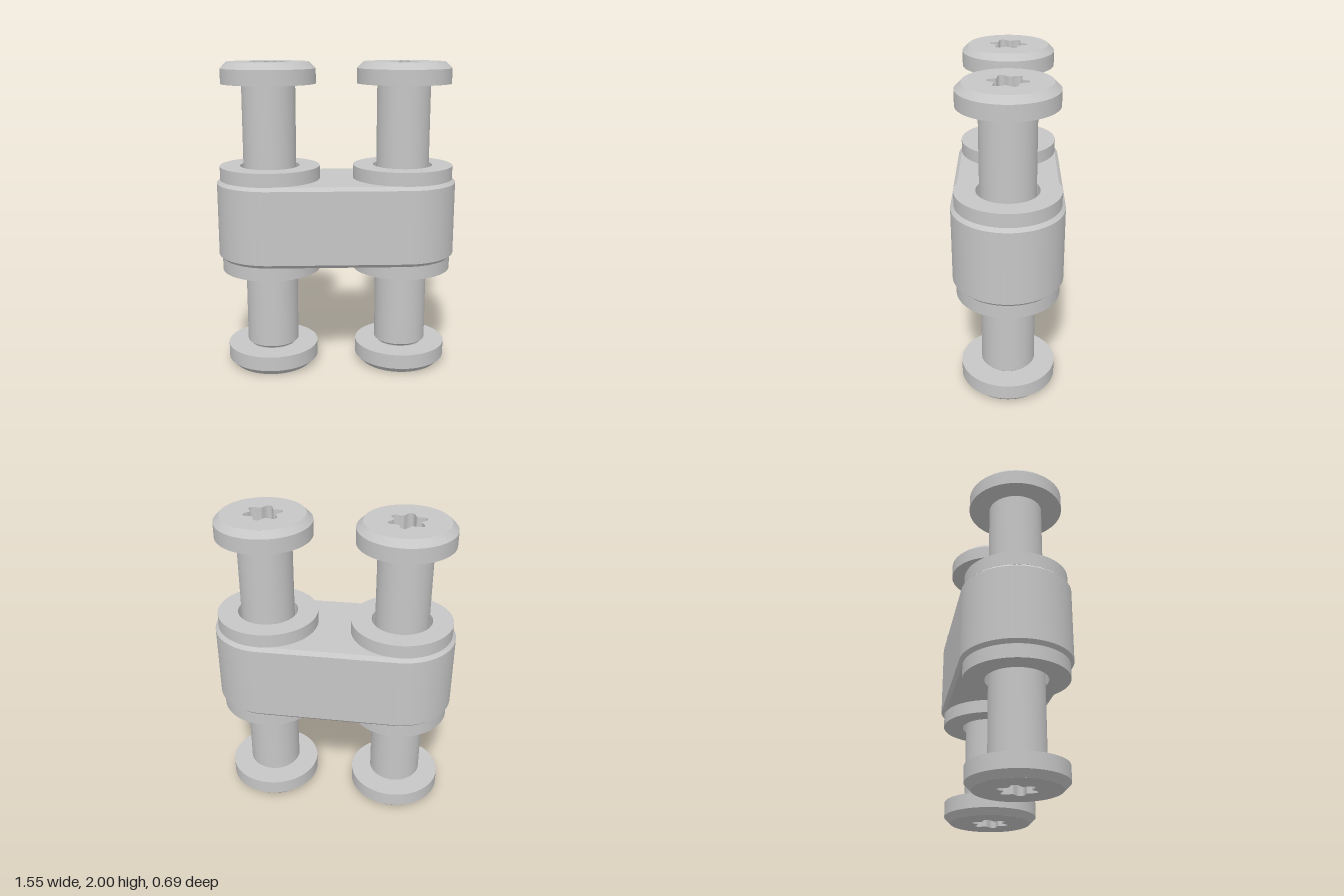
import * as THREE from 'three';
import { toCreasedNormals } from 'three/addons/utils/BufferGeometryUtils.js';

const SEG = 64;
const PIN_X = 0.43;
const HEAD_H = 0.135;

const steel = new THREE.MeshStandardMaterial({ color: 0xc6c6c6 });
steel.name = 'light steel grey';

function part(name, geometry) {
  const mesh = new THREE.Mesh(geometry, steel);
  mesh.name = name;
  return mesh;
}

// Turned part from [radius, height] pairs, listed counter-clockwise
function turned(points) {
  const profile = points.map(([r, y]) => new THREE.Vector2(r, y));
  return toCreasedNormals(new THREE.LatheGeometry(profile, SEG), 0.5);
}

// Extrusion stood upright, from y = 0 upwards
function upright(shape, options) {
  const g = new THREE.ExtrudeGeometry(shape, { curveSegments: SEG, ...options });
  g.rotateX(-Math.PI / 2);
  return toCreasedNormals(g, 0.5);
}

function circlePath(x, r) {
  return new THREE.Path().absarc(x, 0, r, 0, Math.PI * 2, true);
}

// Six-lobed socket outline
function socketPath() {
  const points = [];
  for (let i = 0; i < 96; i++) {
    const a = -(i / 96) * Math.PI * 2;
    const r = 0.102 + 0.02 * Math.cos(6 * (a - THREE.MathUtils.degToRad(82)));
    points.push(new THREE.Vector2(r * Math.cos(a), r * Math.sin(a)));
  }
  return new THREE.Path(points);
}

// Chamfered screw head with its socket, underside at y = 0
function makeHead(name) {
  const head = new THREE.Group();
  head.name = name;
  head.add(part('headRim', turned([[0.14, 0], [0.3, 0], [0.3, HEAD_H - 0.04], [0.26, HEAD_H]])));

  const face = new THREE.Shape().absarc(0, 0, 0.26, 0, Math.PI * 2, false);
  face.holes.push(socketPath());
  const faceGeometry = upright(face, { depth: 0.13, bevelEnabled: false });
  faceGeometry.translate(0, HEAD_H - 0.13, 0);
  head.add(part('headFace', faceGeometry));

  const floor = new THREE.CircleGeometry(0.14, SEG);
  floor.rotateX(-Math.PI / 2);
  floor.translate(0, HEAD_H - 0.128, 0);
  head.add(part('socketFloor', floor));
  return head;
}

function makePin(x) {
  const pin = new THREE.Group();
  pin.name = x > 0 ? 'leftPin' : 'rightPin';
  pin.position.x = x;

  // Shaft, chamfered at its lower end
  pin.add(part('shaft', turned([[0.15, HEAD_H], [0.15, 0.14], [0.17, 0.157], [0.17, 2 - HEAD_H]])));

  const top = makeHead('topHead');
  top.position.y = 2 - HEAD_H;
  const bottom = makeHead('bottomHead');
  bottom.rotation.x = Math.PI;
  bottom.position.y = HEAD_H;
  pin.add(top, bottom);

  // Flanged bushing lining the bore, one flange above and one below the block
  pin.add(part('bushing', turned([
    [0.192, 0.66], [0.322, 0.66], [0.322, 0.746], [0.25, 0.746],
    [0.25, 1.259], [0.322, 1.259], [0.322, 1.345], [0.192, 1.345], [0.192, 0.66],
  ])));
  return pin;
}

// Round-ended link block with chamfered edges
function makeBlock() {
  const c = 0.023;
  const r = 0.343 - c;
  const outline = new THREE.Shape();
  outline.absarc(PIN_X, 0, r, -Math.PI / 2, Math.PI / 2, false);
  outline.absarc(-PIN_X, 0, r, Math.PI / 2, Math.PI * 1.5, false);
  outline.closePath();
  for (const x of [-PIN_X, PIN_X]) outline.holes.push(circlePath(x, 0.26));
  const g = upright(outline, {
    depth: 0.515 - 2 * c, bevelThickness: c, bevelSize: c, bevelSegments: 1, curveSegments: 32,
  });
  g.translate(0, 0.745 + c, 0);
  return part('linkBlock', g);
}

export function createModel() {
  const model = new THREE.Group();
  model.name = 'doublePinLink';
  model.add(makeBlock(), makePin(-PIN_X), makePin(PIN_X));
  return model;
}
